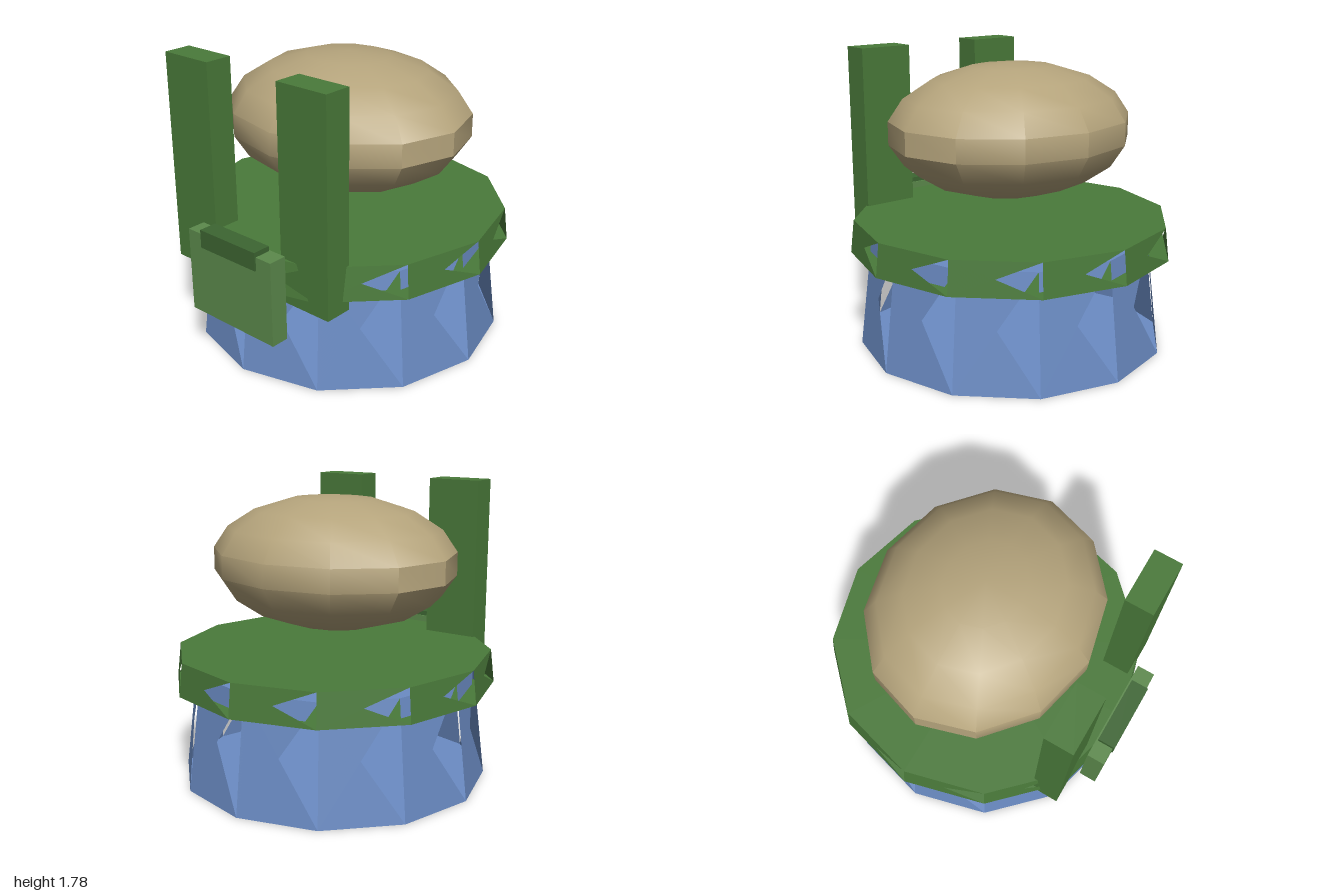
import * as THREE from 'three';
import { toCreasedNormals } from 'three/addons/utils/BufferGeometryUtils.js';

const SIDES = 12;
const CENTRE_Z = -0.015;
const BLUE = 0x6b8cc4, GREEN = 0x4a7a3a, LIGHT_GREEN = 0x5c8a4c, DARK_GREEN = 0x3d6632, TAN = 0xb5a47c;

const paint = (color, options = {}) => new THREE.MeshStandardMaterial({ color, ...options });

function add(group, name, geometry, material, x, y, z) {
  const mesh = new THREE.Mesh(geometry, material);
  mesh.name = name;
  mesh.position.set(x, y, z);
  group.add(mesh);
  return mesh;
}

// Capped frustum whose wall panels each have a triangular opening on their right side
function openPanelFrustum(topRadius, bottomRadius, height) {
  const geometry = new THREE.CylinderGeometry(topRadius, bottomRadius, height, SIDES);
  const index = geometry.index;
  for (let i = 0; i < SIDES; i++) index.setX(6 * i + 5, index.getX(6 * i));
  return geometry;
}

// Box given by its lower and upper corners
function addBox(group, name, color, [x0, y0, z0], [x1, y1, z1]) {
  add(group, name, new THREE.BoxGeometry(x1 - x0, y1 - y0, z1 - z0), paint(color),
    (x0 + x1) / 2, (y0 + y1) / 2, (z0 + z1) / 2);
}

export function createModel() {
  const group = new THREE.Group();
  const panels = { flatShading: true, side: THREE.DoubleSide };

  // Tapered base and the wider rim over its top
  add(group, 'base', openPanelFrustum(0.855, 0.94, 0.7), paint(BLUE, panels), 0, 0.35, CENTRE_Z);
  add(group, 'rim', openPanelFrustum(0.96, 0.983, 0.2), paint(GREEN, panels), 0, 0.69, CENTRE_Z);

  // Rounded body floating above the rim
  const body = new THREE.SphereGeometry(1, SIDES, 9);
  body.scale(0.777, 0.4, 0.675);
  add(group, 'body', toCreasedNormals(body, 0.585), paint(TAN), 0, 1.32, CENTRE_Z);

  // Pair of upright straps at the front
  for (const [name, x] of [['leftStrap', 0.26], ['rightStrap', -0.6]]) {
    addBox(group, name, GREEN, [x, 0.52, 0.675], [x + 0.34, 1.78, 0.845]);
  }

  // Front pouch with its flap
  addBox(group, 'pouch', LIGHT_GREEN, [-0.325, 0.32, 0.88], [0.325, 0.83, 0.99]);
  addBox(group, 'pouchFlap', DARK_GREEN, [-0.215, 0.75, 0.89], [0.215, 0.86, 1.0]);

  return group;
}
